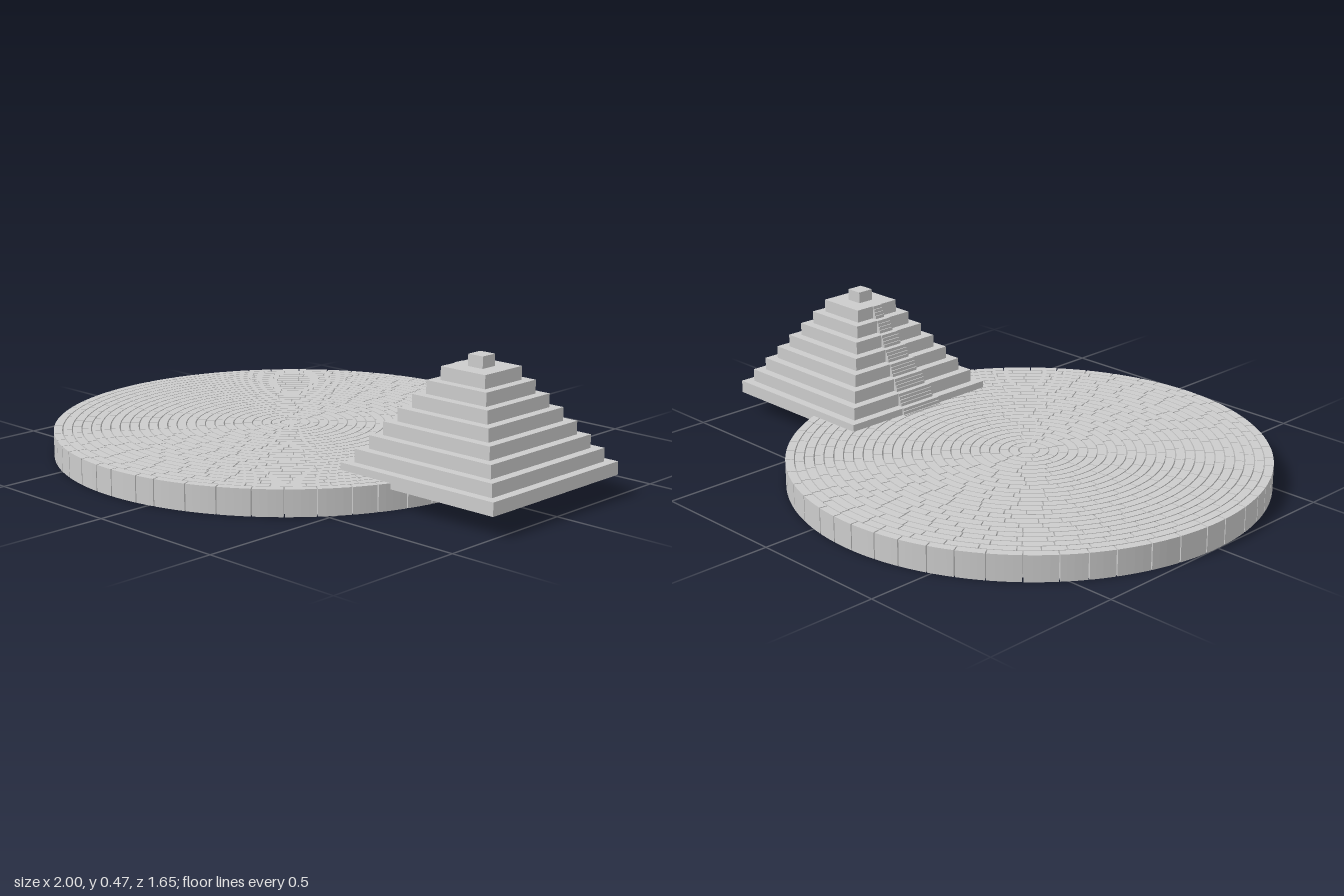
import * as THREE from 'three';
import { mergeGeometries } from 'three/addons/utils/BufferGeometryUtils.js';

const material = new THREE.MeshStandardMaterial({ color: 0xcccccc, flatShading: true });
const DISC = { x: -0.175, radius: 0.825, height: 0.09, rings: 25, gap: 0.004 };
const PYRAMID = { x: 0.685, base: 0.07, half: 0.315, inset: 0.032, rise: 0.045, levels: 8 };

// Small seeded generator for uneven stone widths
let seed = 7;
function random() {
  seed = (seed * 16807) % 2147483647;
  return seed / 2147483647;
}

function addMesh(parent, name, geometry) {
  const mesh = new THREE.Mesh(geometry, material);
  mesh.name = name;
  parent.add(mesh);
  return mesh;
}

function addBox(parent, name, w, h, d, x, bottom) {
  addMesh(parent, name, new THREE.BoxGeometry(w, h, d)).position.set(x, bottom + h / 2, 0);
}

// One curved paving stone between two radii and two angles
function stone(inner, outer, start, end) {
  const padIn = DISC.gap / 2 / inner, padOut = DISC.gap / 2 / outer;
  const shape = new THREE.Shape();
  shape.absarc(0, 0, outer, start + padOut, end - padOut, false);
  shape.absarc(0, 0, inner, end - padIn, start + padIn, true);
  const curveSegments = Math.max(2, Math.ceil((end - start) / 0.12));
  const geometry = new THREE.ExtrudeGeometry(shape, { depth: DISC.height, bevelEnabled: false, curveSegments });
  return geometry.rotateX(-Math.PI / 2);
}

// A full ring of stones with uneven widths
function stoneRing(inner, outer) {
  const count = Math.max(5, Math.round((Math.PI * 2 * outer) / 0.095));
  const widths = Array.from({ length: count }, () => 0.75 + random() * 0.5);
  const total = widths.reduce((a, b) => a + b, 0);
  let angle = random() * Math.PI;
  const stones = widths.map((w) => {
    const start = angle;
    angle += (w / total) * Math.PI * 2;
    return stone(inner, outer, start, angle);
  });
  return mergeGeometries(stones);
}

function createPlaza() {
  const plaza = new THREE.Group();
  plaza.name = 'roundPlaza';
  plaza.position.x = DISC.x;
  const pitch = DISC.radius / DISC.rings;
  const centre = new THREE.CylinderGeometry(pitch, pitch, DISC.height, 16);
  addMesh(plaza, 'centreStone', centre.translate(0, DISC.height / 2, 0));
  for (let i = 1; i < DISC.rings; i++) {
    addMesh(plaza, `stoneRing${i}`, stoneRing(i * pitch + DISC.gap, (i + 1) * pitch));
  }
  return plaza;
}

function createPyramid() {
  const { x, base, half, inset, rise, levels } = PYRAMID;
  const pyramid = new THREE.Group();
  pyramid.name = 'steppedPyramid';
  pyramid.position.set(x, base, 0);
  const substeps = 4, run = 0.016;

  for (let i = 0; i < levels; i++) {
    const size = half - inset * i;
    addBox(pyramid, `terrace${i + 1}`, size * 2, rise, size * 2, 0, rise * i);

    // Narrowing flight of small steps against the terrace on the plaza side
    const width = 0.17 - (0.13 * i) / (levels - 1);
    for (let s = 0; s < substeps; s++) {
      const depth = run * (1 - s / substeps);
      const h = rise / substeps;
      addBox(pyramid, 'stairStep', depth, h, width, -size - depth / 2, rise * i + h * s);
    }
  }

  // Small shrine block on the summit
  addBox(pyramid, 'summitBlock', 0.06, 0.04, 0.06, 0, rise * levels);
  return pyramid;
}

export function createModel() {
  seed = 7;
  const model = new THREE.Group();
  model.name = 'pyramidPlaza';
  model.add(createPlaza(), createPyramid());
  return model;
}
